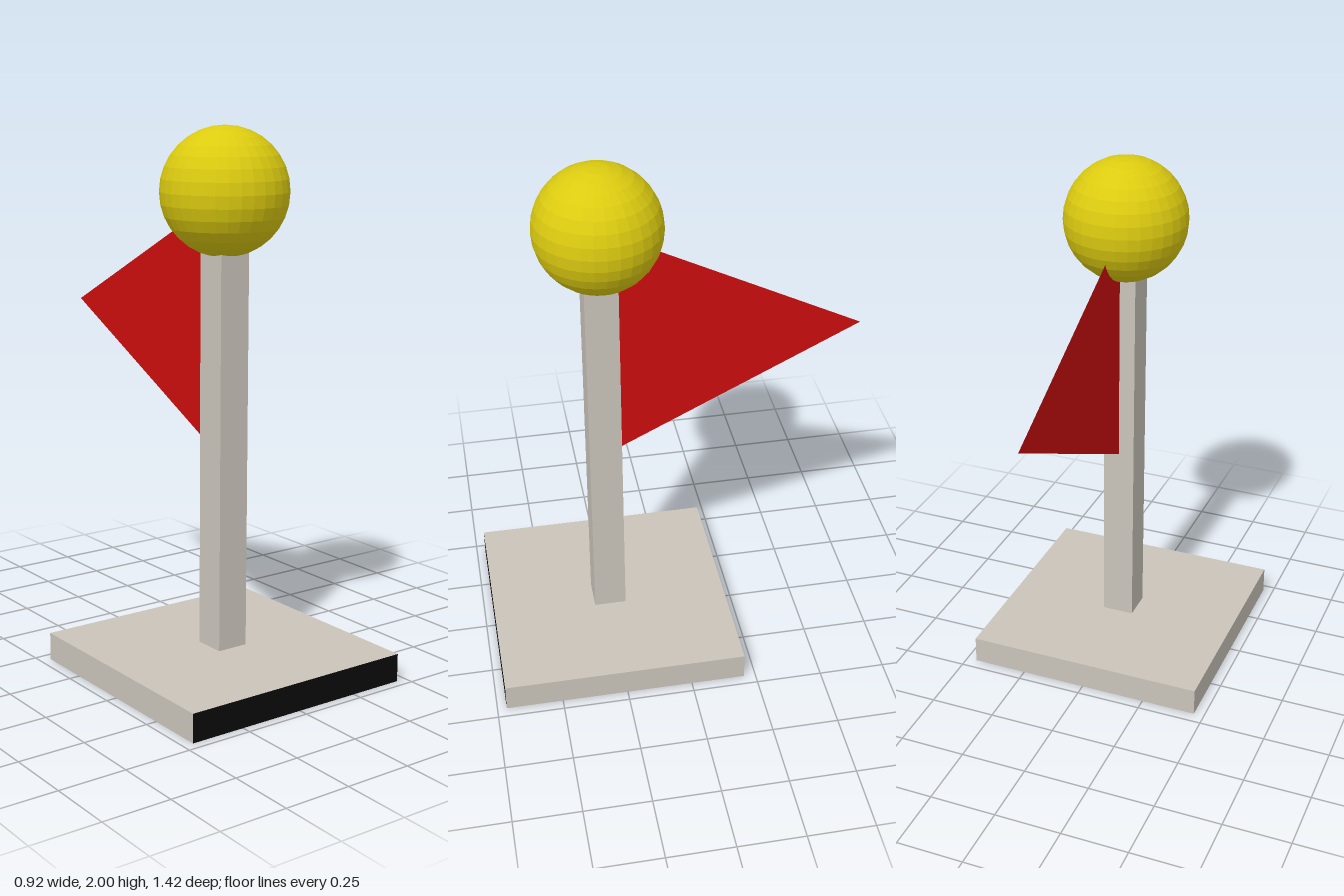
import * as THREE from 'three';

const mat = (name, color, extra = {}) => {
  const m = new THREE.MeshStandardMaterial({ color, ...extra });
  m.name = name;
  return m;
};

export function createModel() {
  const stone = mat('warm grey', 0xcac4ba);
  const black = mat('black', 0x0b0b0b);
  const yellow = mat('yellow', 0xdccb10, { flatShading: true });
  const red = mat('red', 0xcc0d0d, { side: THREE.DoubleSide });

  const model = new THREE.Group();
  model.name = 'flagPost';
  const add = (name, geometry, material, x, y, z) => {
    const mesh = new THREE.Mesh(geometry, material);
    mesh.name = name;
    mesh.position.set(x, y, z);
    model.add(mesh);
  };

  // Square base with a black front face
  add('base', new THREE.BoxGeometry(0.92, 0.105, 0.92),
    [stone, stone, stone, stone, black, stone], 0, 0.0525, 0.255);

  // Square pole, running up into the ball
  add('pole', new THREE.BoxGeometry(0.122, 1.5, 0.122), stone, 0.008, 0.85, 0.255);

  // Faceted ball on top
  add('ball', new THREE.SphereGeometry(0.23, 32, 16), yellow, 0.008, 1.77, 0.253);

  // Triangular pennant pointing backwards (shape x becomes -z)
  const pennant = new THREE.Shape([
    new THREE.Vector2(0, 0.83),
    new THREE.Vector2(0.905, 1.283),
    new THREE.Vector2(0, 1.735),
  ]);
  add('flag', new THREE.ShapeGeometry(pennant).rotateY(Math.PI / 2), red, 0.008, 0, 0.195);

  return model;
}
